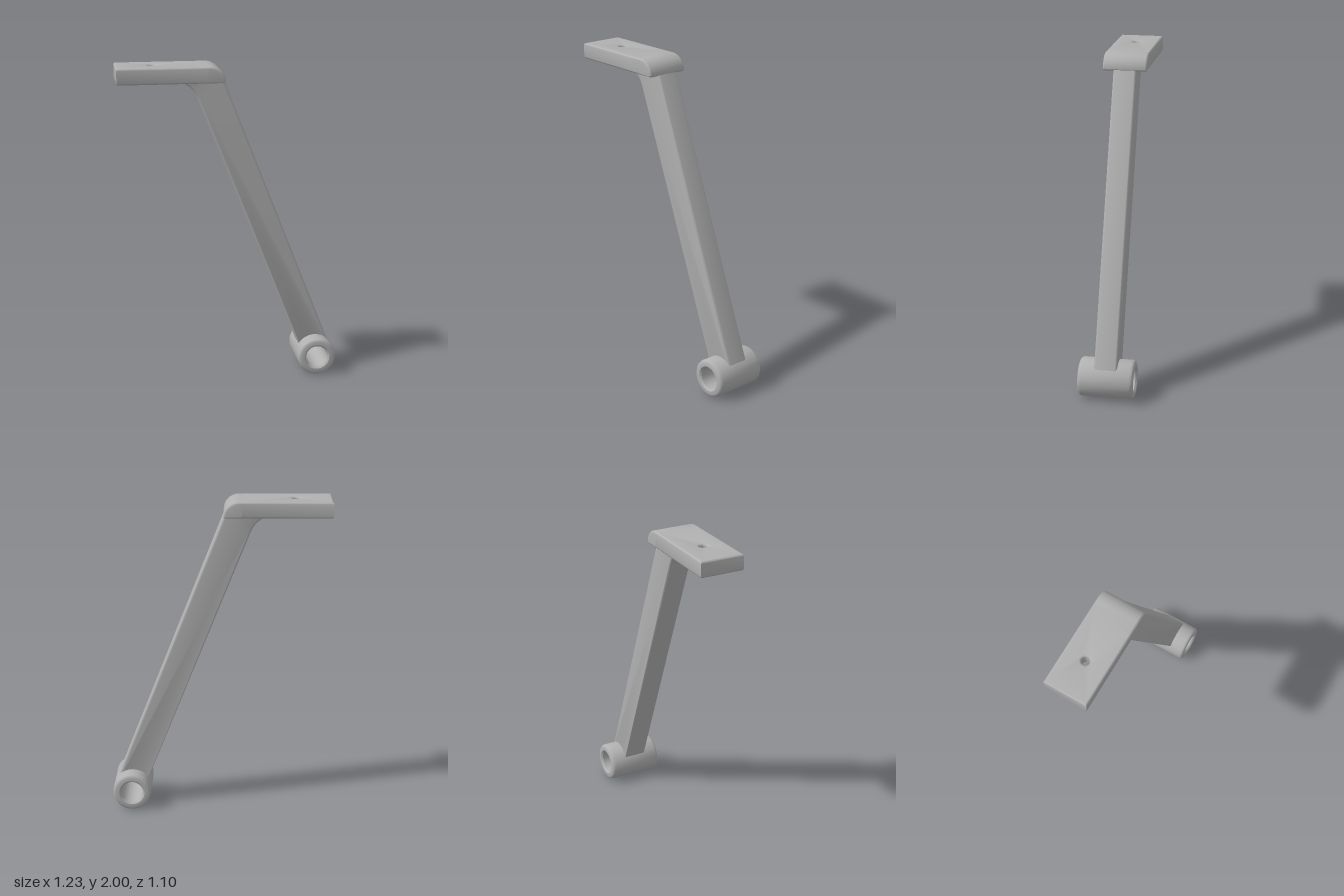
import * as THREE from 'three';
import { toCreasedNormals } from 'three/addons/utils/BufferGeometryUtils.js';

const EDGE = 0.012; // rounding of the long edges

// Extrude a shape to a total depth, centred on z, with softly rounded rims
function slab(shape, depth) {
  const core = depth - 2 * EDGE;
  const g = new THREE.ExtrudeGeometry(shape, {
    depth: core, bevelEnabled: true, bevelThickness: EDGE, bevelSize: EDGE,
    bevelOffset: -EDGE, bevelSegments: 3, curveSegments: 20,
  });
  g.translate(0, 0, -core / 2);
  return g;
}

export function createModel() {
  const steel = new THREE.MeshStandardMaterial({ color: 0xb0b0b0 });
  steel.name = 'grey metal';

  const model = new THREE.Group();
  model.name = 'angledBracket';
  const add = (name, geometry) => {
    const mesh = new THREE.Mesh(toCreasedNormals(geometry, 0.6), steel);
    mesh.name = name;
    model.add(mesh);
  };

  // Flat mounting plate with a vertical screw hole
  const plate = new THREE.Shape();
  plate.moveTo(-0.7, -0.137);
  plate.lineTo(-0.15, -0.137);
  plate.lineTo(-0.15, 0.137);
  plate.lineTo(-0.7, 0.137);
  plate.closePath();
  const hole = new THREE.Path();
  hole.absarc(-0.478, 0, 0.025, 0, Math.PI * 2, true);
  plate.holes.push(hole);
  add('mountingPlate', slab(plate, 0.1).rotateX(Math.PI / 2).translate(0, 1.95, 0));

  // Rounded nose of the plate, above the arm
  const nose = new THREE.Shape();
  nose.moveTo(-0.22, 1.9);
  nose.lineTo(-0.048, 1.9);
  nose.lineTo(-0.04, 1.908);
  nose.absellipse(-0.14, 1.91, 0.1, 0.09, 0, Math.PI / 2, false);
  nose.lineTo(-0.22, 2);
  nose.closePath();
  add('plateNose', slab(nose, 0.274));

  // Slanted arm, filleted under the plate and cut to fit around the bore
  const arm = new THREE.Shape();
  arm.moveTo(-0.345, 1.9);
  arm.quadraticCurveTo(-0.243, 1.9, -0.2, 1.79);
  arm.lineTo(0.452, 0.15);
  arm.absarc(0.542, 0.12, 0.1, 2.8, 0.6, true);
  arm.lineTo(0.632, 0.19);
  arm.lineTo(-0.04, 1.9);
  arm.lineTo(-0.06, 1.93);
  arm.lineTo(-0.345, 1.93);
  arm.closePath();
  add('arm', slab(arm, 0.142));

  // Pivot sleeve: outer wall going up, bore coming back down
  const half = 0.17;
  const rim = [[0.07, half - 0.01], [0.08, half], [0.102, half], [0.111, half - 0.004], [0.117, half - 0.01], [0.12, half - 0.02]];
  const outline = [
    ...rim.map(([r, y]) => new THREE.Vector2(r, -y)),
    ...rim.slice().reverse().map(([r, y]) => new THREE.Vector2(r, y)),
    new THREE.Vector2(0.07, -half + 0.01),
  ];
  const sleeve = new THREE.LatheGeometry(outline, 64);
  sleeve.rotateX(Math.PI / 2).translate(0.542, 0.12, 0);
  add('pivotSleeve', sleeve);

  // The whole bracket is turned on its vertical axis
  model.rotation.y = -40 * Math.PI / 180;
  const root = new THREE.Group();
  root.name = 'bracket';
  root.add(model);
  return root;
}
